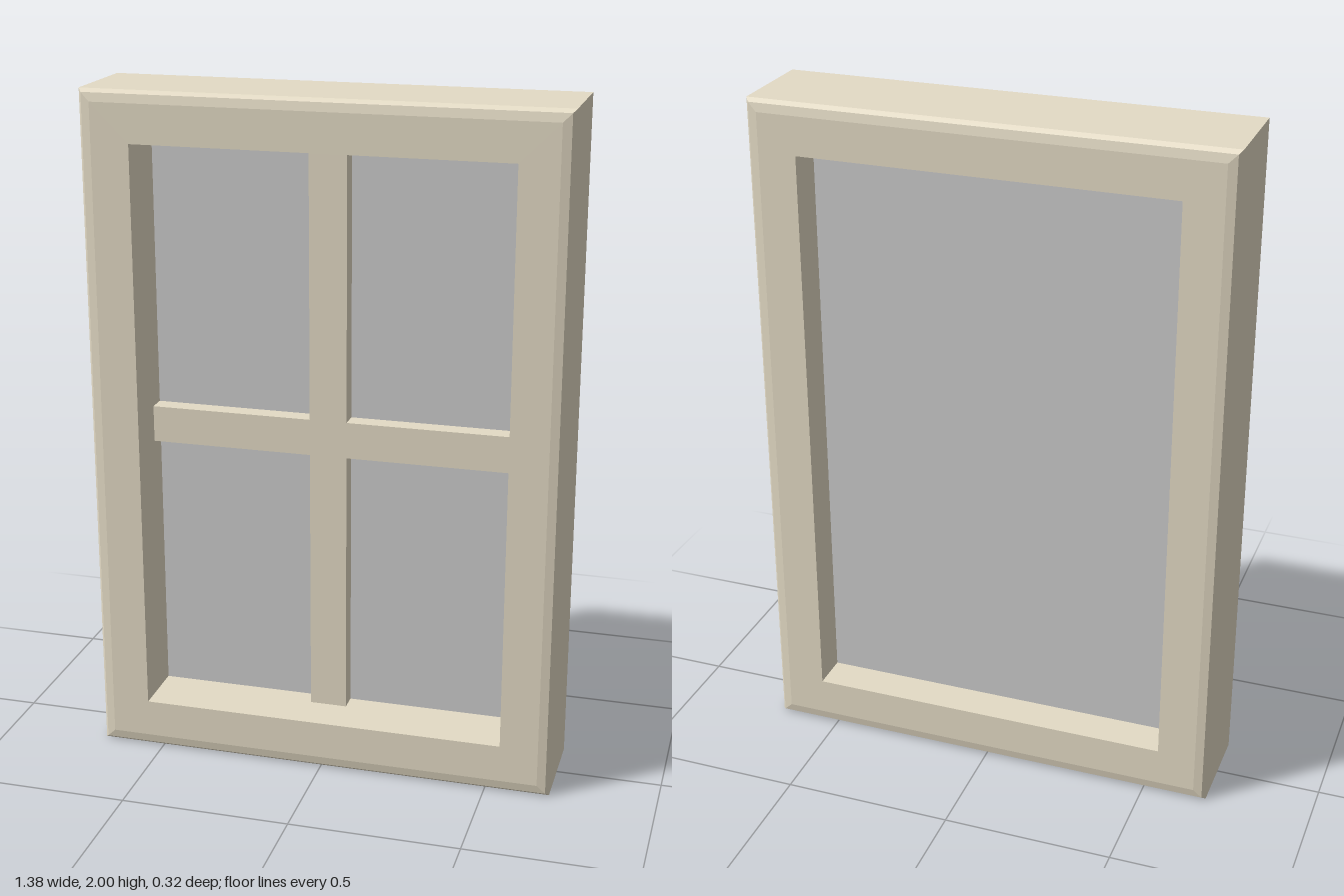
import * as THREE from 'three';

const HALF_W = 0.69;

// Frame cross-section: [inset from the outer edge, z], from the inner front edge round to the inner back edge
const PROFILE = [
  [0.147, 0.162], [0.035, 0.162], [0.01, 0.157], [0, 0.144],
  [0, -0.144], [0.01, -0.157], [0.035, -0.162], [0.147, -0.162],
];

// Sweep the cross-section around the four mitred corners
function frameGeometry() {
  const corners = [[-1, -1], [1, -1], [1, 1], [-1, 1]];
  const at = ([inset, z], [sx, sy]) => [sx * (HALF_W - inset), 1 + sy * (1 - inset), z];
  const pos = [];
  PROFILE.forEach((p, i) => {
    const q = PROFILE[(i + 1) % PROFILE.length];
    corners.forEach((c, k) => {
      const d = corners[(k + 1) % 4];
      const [a, b, e, f] = [at(p, c), at(q, c), at(q, d), at(p, d)];
      pos.push(...a, ...b, ...e, ...a, ...e, ...f);
    });
  });
  const geo = new THREE.BufferGeometry();
  geo.setAttribute('position', new THREE.Float32BufferAttribute(pos, 3));
  geo.computeVertexNormals();
  return geo;
}

export function createModel() {
  const group = new THREE.Group();
  const wood = new THREE.MeshStandardMaterial({ color: 0xe4dbc5 });
  const grey = new THREE.MeshStandardMaterial({ color: 0xcccccc });

  const add = (name, geo, mat, x = 0, y = 0, z = 0) => {
    const mesh = new THREE.Mesh(geo, mat);
    mesh.name = name;
    mesh.position.set(x, y, z);
    group.add(mesh);
  };

  add('frame', frameGeometry(), wood);

  // Crossed glazing bars, set slightly left of centre in the opening
  add('verticalBar', new THREE.BoxGeometry(0.11, 1.715, 0.082), wood, -0.008, 1, -0.006);
  add('horizontalBar', new THREE.BoxGeometry(1.086, 0.108, 0.082), wood, -0.008, 1, -0.006);

  // Pane
  add('glass', new THREE.BoxGeometry(1.086, 1.714, 0.03), grey, 0, 1, -0.034);

  return group;
}
